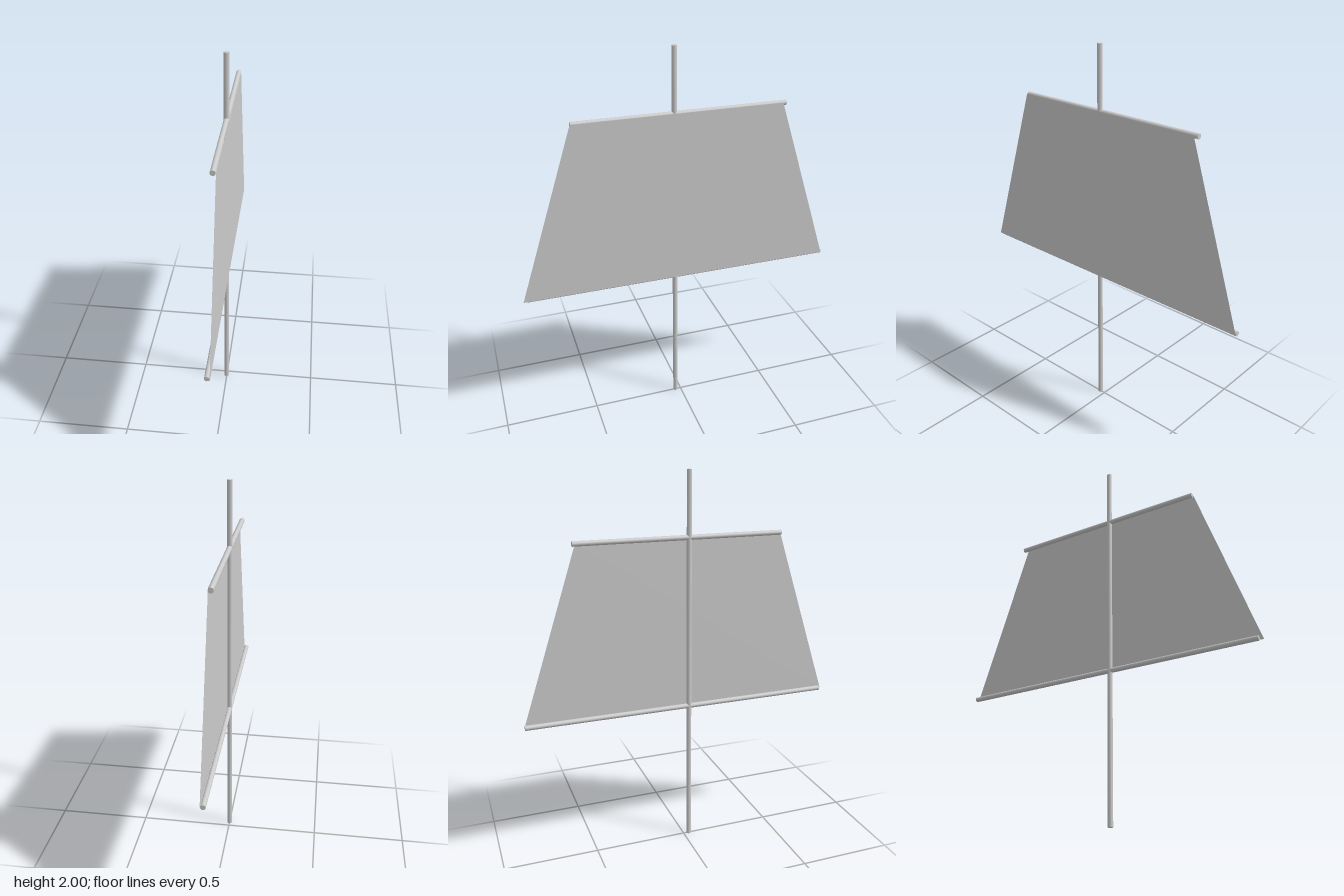
import * as THREE from 'three';

const R = 0.013;      // spar radius
const SPAR_X = -0.001;
const SAIL_X = 0.0135;

export function createModel() {
  const group = new THREE.Group();
  const material = new THREE.MeshStandardMaterial({ color: 0xcccccc });
  const sailMaterial = new THREE.MeshStandardMaterial({ color: 0xcccccc, side: THREE.DoubleSide });

  const add = (name, geometry, mat = material) => {
    const mesh = new THREE.Mesh(geometry, mat);
    mesh.name = name;
    group.add(mesh);
    return mesh;
  };

  // Upright mast
  add('mast', new THREE.CylinderGeometry(R, R, 2, 12)).position.set(SPAR_X, 1, 0.03);

  // Horizontal spars along z: upper yard and lower boom
  const spar = (name, y, z0, z1) => {
    const geometry = new THREE.CylinderGeometry(R, R, z1 - z0, 12).rotateX(Math.PI / 2);
    add(name, geometry).position.set(SPAR_X, y, (z0 + z1) / 2);
  };
  spar('upperYard', 1.674, -0.557, 0.535);
  spar('lowerBoom', 0.779, -0.837, 0.818);

  // Thin tapered sail, outlined in the z-y plane on the +x side of the spars
  const outline = new THREE.Shape([
    new THREE.Vector2(-0.837, 0.775),
    new THREE.Vector2(0.837, 0.775),
    new THREE.Vector2(0.537, 1.678),
    new THREE.Vector2(-0.537, 1.678),
  ]);
  const sail = add('sail', new THREE.ShapeGeometry(outline).rotateY(Math.PI / 2), sailMaterial);
  sail.position.x = SAIL_X;

  return group;
}
